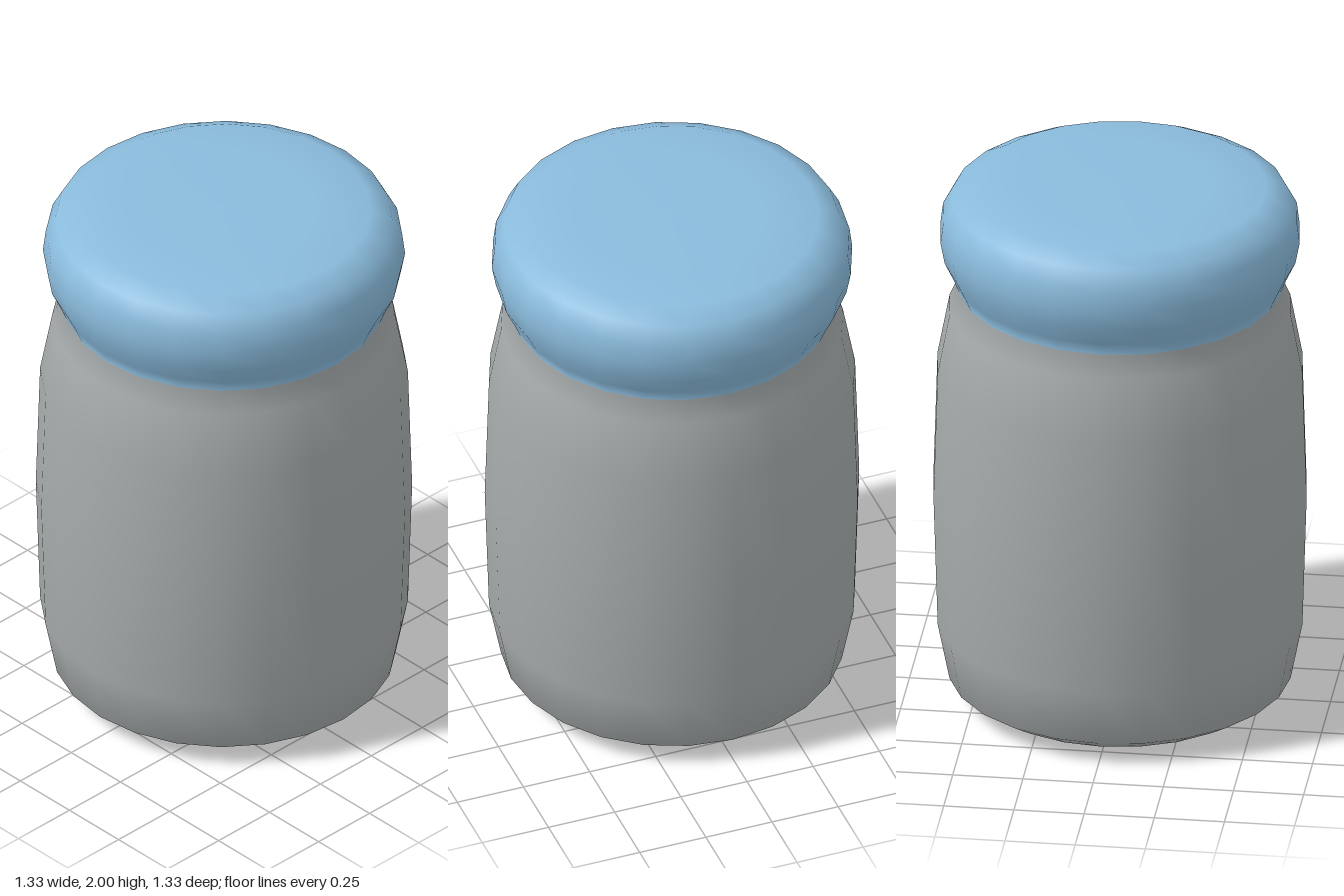
import * as THREE from 'three';

const SIDES = 24;
const SEAM = 1.6;

// Turns a bottom-to-top profile; normals at the seam point straight out so both parts blend.
function turned(name, profile, material) {
  const geometry = new THREE.LatheGeometry(profile.map(([r, y]) => new THREE.Vector2(r, y)), SIDES);
  const { position, normal } = geometry.attributes;
  for (let i = 0; i < position.count; i++) {
    if (Math.abs(position.getY(i) - SEAM) > 1e-4) continue;
    const x = position.getX(i), z = position.getZ(i), r = Math.hypot(x, z);
    normal.setXYZ(i, x / r, 0, z / r);
  }
  const mesh = new THREE.Mesh(geometry, material);
  mesh.name = name;
  return mesh;
}

export function createModel() {
  const jarGrey = new THREE.MeshStandardMaterial({ color: 0xa6abab });
  jarGrey.name = 'jar grey';
  const lidBlue = new THREE.MeshStandardMaterial({ color: 0x8abbdc });
  lidBlue.name = 'lid blue';

  const group = new THREE.Group();
  group.name = 'jar';

  // Bulging body with a rounded base and narrowing shoulder
  group.add(turned('body', [
    [0, 0], [0.33, 0.005], [0.52, 0.03], [0.608, 0.085], [0.65, 0.3],
    [0.665, 0.8], [0.65, 1.29], [0.607, 1.52], [0.572, SEAM],
  ], jarGrey));

  // Rounded lid flaring out from the neck
  group.add(turned('lid', [
    [0.572, SEAM], [0.592, 1.65], [0.625, 1.72], [0.64, 1.8], [0.63, 1.88],
    [0.595, 1.945], [0.52, 1.985], [0.33, 1.997], [0, 2],
  ], lidBlue));

  return group;
}
